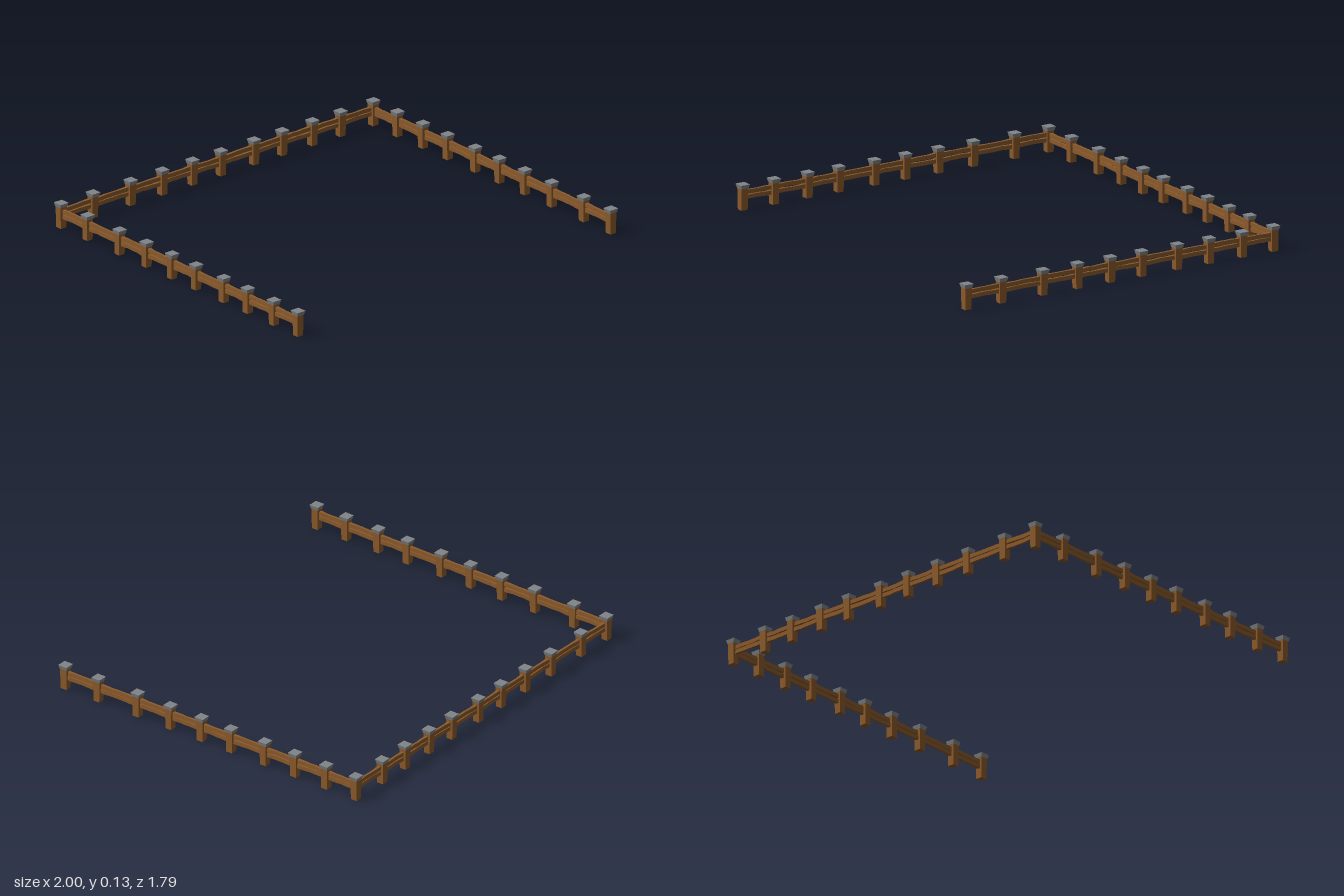
import * as THREE from 'three';

const wood = new THREE.MeshStandardMaterial({ color: 0x8b5a2b, flatShading: true });
const stone = new THREE.MeshStandardMaterial({ color: 0x808488, flatShading: true });

// Small seeded generator for the hand-hewn irregularity
let seed = 7;
const rand = () => {
  seed = (seed * 16807) % 2147483647;
  return seed / 2147483647 - 0.5;
};

// Square frustum standing on y = 0
function squareFrustum(top, bottom, height) {
  const g = new THREE.CylinderGeometry(top * Math.SQRT1_2, bottom * Math.SQRT1_2, height, 4);
  return g.rotateY(Math.PI / 4).translate(0, height / 2, 0);
}
const postGeometry = squareFrustum(0.038, 0.034, 0.108);
const capGeometry = squareFrustum(0.05, 0.04, 0.02);

function makePost(x, z) {
  const group = new THREE.Group();
  group.name = 'fencePost';
  const post = new THREE.Mesh(postGeometry, wood);
  post.name = 'post';
  const cap = new THREE.Mesh(capGeometry, stone);
  cap.name = 'postCap';
  cap.position.y = 0.107;
  group.add(post, cap);
  group.position.set(x, 0, z);
  return group;
}

// Rail between two posts: uneven height, slightly thicker beside each post
function makeRail(a, b, y, name) {
  const length = Math.hypot(b[0] - a[0], b[1] - a[1]);
  const g = new THREE.BoxGeometry(length, 0.02, 0.012, 6, 1, 1);
  const p = g.attributes.position;
  const wobble = Array.from({ length: 7 }, () => rand() * 0.003);
  for (let i = 0; i < p.count; i++) {
    const k = Math.round((p.getX(i) / length + 0.5) * 6);
    p.setY(i, p.getY(i) + wobble[k]);
    if (k === 1 || k === 5) p.setZ(i, p.getZ(i) * 1.35);
  }
  g.computeVertexNormals();
  const rail = new THREE.Mesh(g, wood);
  rail.name = name;
  rail.position.set((a[0] + b[0]) / 2, y + rand() * 0.003, (a[1] + b[1]) / 2);
  rail.rotation.set(0, -Math.atan2(b[1] - a[1], b[0] - a[0]), rand() * 0.02, 'YXZ');
  return rail;
}

export function createModel() {
  const model = new THREE.Group();
  model.name = 'fence';

  // Post positions in order: right side, back row, left side
  const rightZ = [0.863, 0.686, 0.494, 0.318, 0.115, -0.061, -0.248, -0.446, -0.681];
  const backX = [-0.975, -0.777, -0.542, -0.345, -0.157, 0.02, 0.227, 0.402, 0.59, 0.766, 0.97];
  const leftZ = [-0.697, -0.51, -0.329, -0.126, 0.051, 0.238, 0.435, 0.67, 0.868];
  const points = [
    ...rightZ.map((z) => [-0.975, z]),
    ...backX.map((x) => [x, -0.875]),
    ...leftZ.map((z) => [0.97, z]),
  ];

  points.forEach((p, i) => {
    model.add(makePost(...p));
    if (i === 0) return;
    model.add(makeRail(points[i - 1], p, 0.085, 'upperRail'));
    model.add(makeRail(points[i - 1], p, 0.06, 'lowerRail'));
  });
  return model;
}
